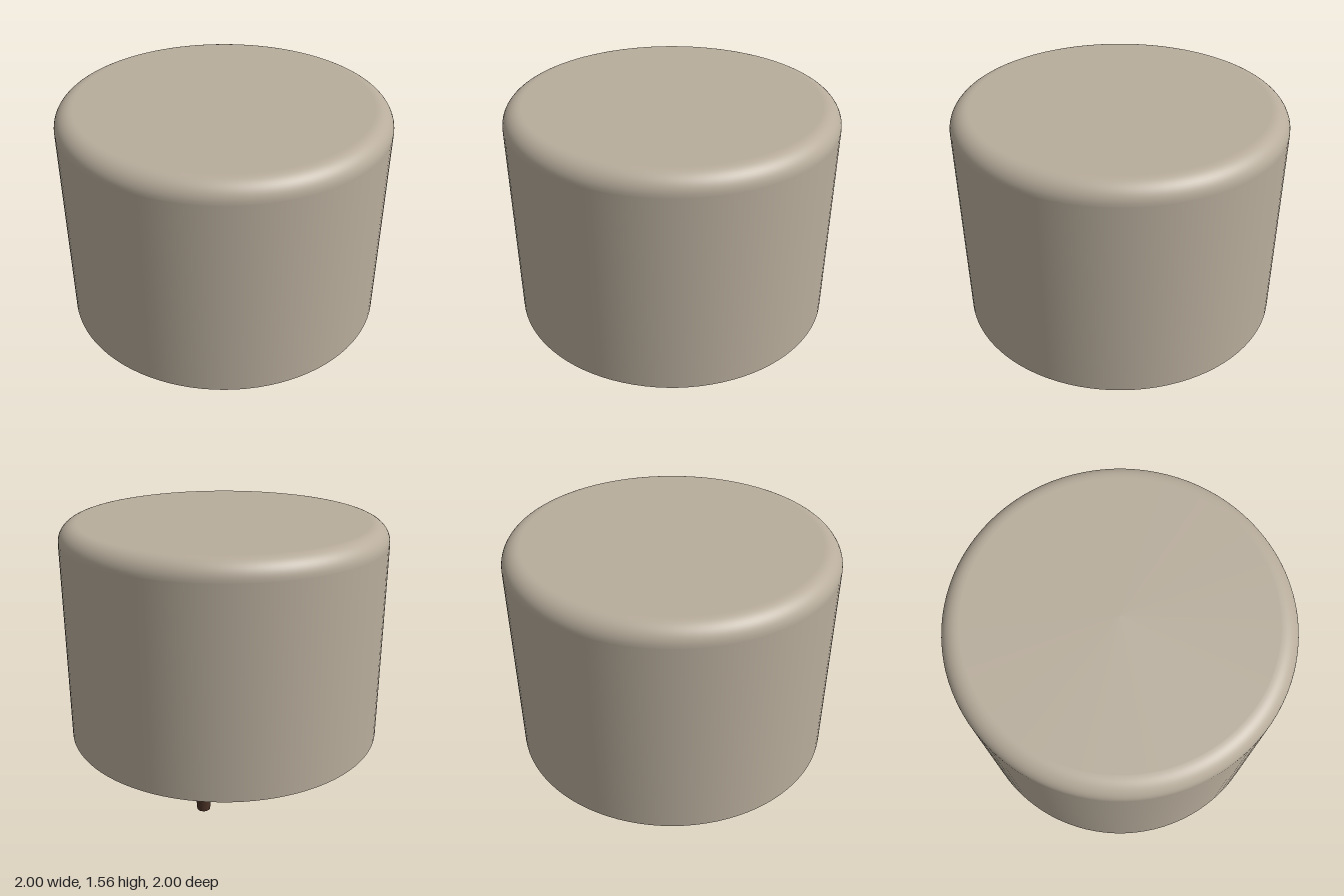
import * as THREE from 'three';

const BASE = 0.19, TOP = 1.56, R = 1, FILLET = 0.11, SEGMENTS = 96;

export function createModel() {
  const model = new THREE.Group();
  model.name = 'pouf';
  const fabric = new THREE.MeshStandardMaterial({ color: 0xb8ad9c });
  const wood = new THREE.MeshStandardMaterial({ color: 0x4a3226 });

  const add = (name, geometry, material, parent = model) => {
    const mesh = new THREE.Mesh(geometry, material);
    mesh.name = name;
    parent.add(mesh);
    return mesh;
  };

  // Upholstered drum: straight wall, rounded shoulder, flat seat
  // (extra points beside the fillet keep wall and seat shading flat)
  const profile = [new THREE.Vector2(R, BASE), new THREE.Vector2(R, TOP - FILLET - 0.005)];
  for (let i = 0; i <= 12; i++) {
    const a = (i / 12) * Math.PI / 2;
    profile.push(new THREE.Vector2(
      R - FILLET + FILLET * Math.cos(a),
      TOP - FILLET + FILLET * Math.sin(a)));
  }
  profile.push(new THREE.Vector2(R - FILLET - 0.005, TOP), new THREE.Vector2(0, TOP));
  add('upholsteredBody', new THREE.LatheGeometry(profile, SEGMENTS), fabric);

  // Underside disc
  const underside = add('underside', new THREE.CircleGeometry(R, SEGMENTS), fabric);
  underside.rotation.x = Math.PI / 2;
  underside.position.y = BASE;

  // Four tapered legs
  const legs = new THREE.Group();
  legs.name = 'legs';
  model.add(legs);
  const legGeometry = new THREE.CylinderGeometry(0.052, 0.038, BASE, 24);
  for (const [zName, z] of [['front', 0.55], ['back', -0.55]]) {
    for (const [xName, x] of [['Left', 0.55], ['Right', -0.55]]) {
      add(`${zName}${xName}Leg`, legGeometry, wood, legs).position.set(x, BASE / 2, z);
    }
  }
  return model;
}
